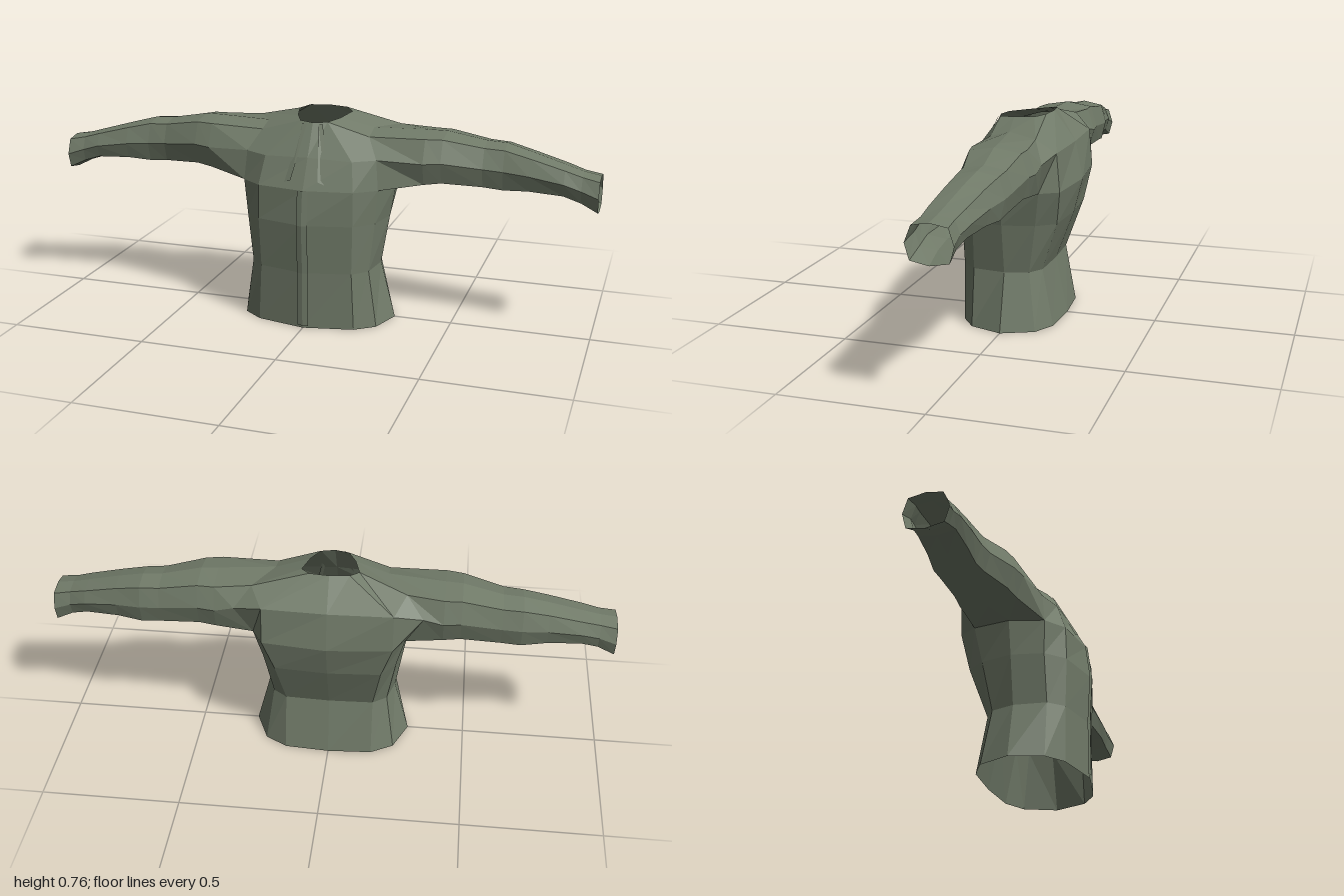
import * as THREE from 'three';

const cloth = new THREE.MeshStandardMaterial({ color: 0x717b69, flatShading: true, side: THREE.DoubleSide });
cloth.name = 'olive cloth';

// Flat-shaded mesh from polygons (lists of 3 or 4 points); side -1 mirrors it in x
function facets(name, polys, side = 1) {
  const out = [];
  for (const p of polys) {
    const q = p.map(([x, y, z]) => [x * side, y, z]);
    if (side < 0) q.reverse();
    for (let i = 1; i < q.length - 1; i++) out.push(...q[0], ...q[i], ...q[i + 1]);
  }
  const g = new THREE.BufferGeometry();
  g.setAttribute('position', new THREE.Float32BufferAttribute(out, 3));
  g.computeVertexNormals();
  const mesh = new THREE.Mesh(g, cloth);
  mesh.name = name;
  return mesh;
}

// Quads between successive open rows of points
function skin(rows) {
  const polys = [];
  for (let i = 0; i < rows.length - 1; i++)
    for (let j = 0; j < rows[i].length - 1; j++)
      polys.push([rows[i][j], rows[i][j + 1], rows[i + 1][j + 1], rows[i + 1][j]]);
  return polys;
}

// Torso half sections [x, z], front centre round to back centre
const level = (y, pts) => pts.map(([x, z]) => [x, y, z]);
const torso = [
  level(0, [[0, 0.207], [0.18, 0.17], [0.25, 0.118], [0.29, 0], [0.24, -0.115], [0.16, -0.16], [0, -0.17]]),
  level(0.21, [[0, 0.207], [0.17, 0.17], [0.22, 0.118], [0.235, 0], [0.21, -0.085], [0.16, -0.12], [0, -0.126]]),
  level(0.39, [[0, 0.218], [0.175, 0.178], [0.24, 0.115], [0.265, 0], [0.24, -0.115], [0.19, -0.18], [0, -0.192]]),
  level(0.514, [[0, 0.203], [0.175, 0.175], [0.25, 0.12], [0.287, 0], [0.27, -0.135], [0.23, -0.2], [0, -0.223]]),
];

// Chest, shoulder and neck points
const t = torso[3];
const chest = [[0, 0.62, 0.146], [0.16, 0.615, 0.14], [0.24, 0.62, 0.11]];
const shoulder = { front: [0.2, 0.69, 0.06], top: [0.2, 0.71, -0.01], rear: [0.27, 0.703, -0.125], back: [0.33, 0.63, -0.165] };
const blade = [[0.23, 0.65, -0.188], [0, 0.65, -0.195]];
const neck = [[0, 0.733, 0.085], [0.05, 0.735, 0.07], [0.08, 0.74, 0.01], [0.1, 0.748, -0.07], [0.07, 0.755, -0.105], [0, 0.757, -0.115]];
const yoke = [
  [t[0], t[1], chest[1], chest[0]],
  [t[1], t[2], chest[2], chest[1]],
  [chest[0], chest[1], neck[1], neck[0]],
  [chest[1], chest[2], shoulder.front, neck[1]],
  [shoulder.front, shoulder.top, neck[2], neck[1]],
  [shoulder.top, shoulder.rear, neck[3], neck[2]],
  [shoulder.rear, blade[0], neck[4], neck[3]],
  [shoulder.rear, shoulder.back, blade[0]],
  [blade[0], blade[1], neck[5], neck[4]],
  [t[4], t[5], blade[0], shoulder.back],
  [t[5], t[6], blade[1], blade[0]],
];

// Sleeve sections: x, top, bottom, front z, back z
const sections = [
  [0.4, 0.71, 0.517, 0.092, -0.165],
  [0.46, 0.709, 0.525, 0.078, -0.16],
  [0.6, 0.682, 0.517, 0.042, -0.15],
  [0.67, 0.678, 0.51, 0.036, -0.147],
  [0.76, 0.655, 0.518, 0.04, -0.13],
  [0.88, 0.622, 0.516, 0.045, -0.112],
  [0.94, 0.605, 0.497, 0.045, -0.098],
  [1, 0.596, 0.467, 0.055, -0.1],
];
// Eight-sided outline: bottom, front, top, back
const outline = [[0, -1], [0.8, -0.82], [1, 0], [0.72, 0.84], [0, 1], [-0.78, 0.84], [-1, 0], [-0.82, -0.82]];
const armhole = [t[3], t[2], chest[2], shoulder.front, shoulder.top, shoulder.rear, shoulder.back, t[4]];
const sleeve = [armhole, ...sections.map(([x, top, bot, zf, zb]) =>
  outline.map(([a, b]) => [x, (top + bot) / 2 + b * (top - bot) / 2, (zf + zb) / 2 + a * (zf - zb) / 2]))]
  .map(r => [...r, r[0]].reverse());

// Front placket, just proud of the torso
const placket = [[0.01, 0.208], [0.21, 0.208], [0.39, 0.219], [0.514, 0.204]]
  .map(([y, z]) => [[0, y, z + 0.004], [0.02, y, z]]);

// Narrow folded lapel running down from the collar
const lapel = [
  [[0.022, 0.728, 0.087], [0.038, 0.728, 0.085], [0.075, 0.535, 0.183], [0.05, 0.545, 0.187]],
];

export function createModel() {
  const group = new THREE.Group();
  group.name = 'jacket';
  for (const [side, label] of [[1, 'left'], [-1, 'right']]) {
    group.add(
      facets(label + 'Torso', skin(torso), side),
      facets(label + 'Yoke', yoke, side),
      facets(label + 'Sleeve', skin(sleeve), side),
      facets(label + 'Placket', skin(placket), side),
      facets(label + 'Lapel', lapel, side),
    );
  }
  return group;
}
